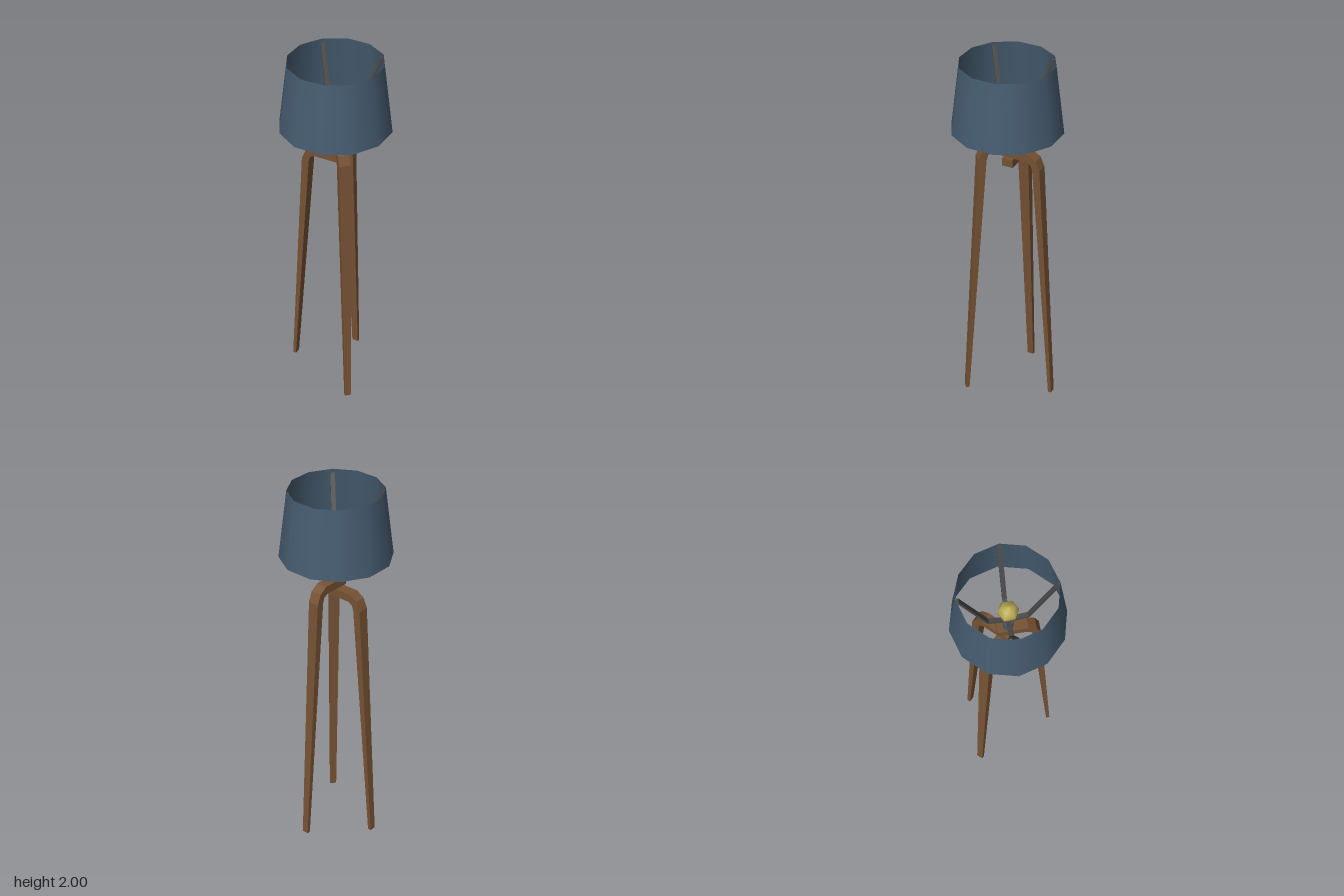
import * as THREE from 'three';

const material = (name, color, side = THREE.FrontSide) => {
  const m = new THREE.MeshStandardMaterial({ color, side });
  m.name = name;
  return m;
};

// Lofts a rectangular bar along +z. Each row: [zTop, yTop, zBottom, yBottom, halfWidth]
function loftBar(rows) {
  const sections = rows.map(([z0, y0, z1, y1, w]) => [[w, y0, z0], [-w, y0, z0], [-w, y1, z1], [w, y1, z1]]);
  const pos = [];
  const quad = (a, b, c, d) => pos.push(...a, ...b, ...c, ...a, ...c, ...d);
  for (let i = 0; i < sections.length - 1; i++) {
    const s = sections[i], t = sections[i + 1];
    for (let j = 0; j < 4; j++) {
      const k = (j + 1) % 4;
      quad(s[j], s[k], t[k], t[j]);
    }
  }
  const first = sections[0], last = sections[sections.length - 1];
  quad(first[3], first[2], first[1], first[0]);
  quad(...last);
  const g = new THREE.BufferGeometry();
  g.setAttribute('position', new THREE.Float32BufferAttribute(pos, 3));
  g.computeVertexNormals();
  return g;
}

const lathe = (points, sides) =>
  new THREE.LatheGeometry(points.map(([r, y]) => new THREE.Vector2(r, y)), sides);

export function createModel() {
  const group = new THREE.Group();
  const wood = material('wood', 0x765234);
  const fabric = material('blue fabric', 0x465c70, THREE.DoubleSide);
  const metal = material('dark metal', 0x484848);
  const glass = material('yellow glass', 0xb9aa52);

  const add = (name, geometry, mat) => {
    const mesh = new THREE.Mesh(geometry, mat);
    mesh.name = name;
    group.add(mesh);
    return mesh;
  };

  // Three bent legs, stacked one above another where they cross
  const legs = [['frontLeg', 0, 1.565], ['backLeftLeg', Math.PI * 0.75, 1.515], ['backRightLeg', -Math.PI * 0.75, 1.465]];
  for (const [name, angle, top] of legs) {
    const leg = add(name, loftBar([
      [-0.04, top, -0.04, top - 0.045, 0.03],
      [0.115, top, 0.107, top - 0.045, 0.03],
      [0.158, top - 0.028, 0.13, top - 0.058, 0.03],
      [0.18, top - 0.08, 0.139, top - 0.086, 0.03],
      [0.269, 0, 0.25, 0, 0.018],
    ]), wood);
    leg.rotation.y = angle;
    leg.position.z = -0.018;
  }

  // Tapered twelve-sided shade, open at both ends
  add('shade', lathe([[0.295, 1.635], [0.248, 2]], 12), fabric);

  // Stem and socket
  const stem = add('stem', new THREE.CylinderGeometry(0.026, 0.026, 0.085, 8), fabric);
  stem.position.y = 1.5825;
  const socket = add('socket', new THREE.CylinderGeometry(0.018, 0.018, 0.06, 8), fabric);
  socket.position.y = 1.65;

  // Four bent arms carrying the shade
  for (let i = 0; i < 4; i++) {
    const arm = add('shadeArm', loftBar([
      [0, 1.657, 0, 1.645, 0.012],
      [0.098, 1.677, 0.105, 1.665, 0.012],
      [0.234, 1.985, 0.246, 1.985, 0.012],
    ]), metal);
    arm.rotation.y = i * Math.PI / 2;
  }

  // Bulb
  add('bulb', lathe([[0, 1.665], [0.024, 1.675], [0.03, 1.7], [0.052, 1.74], [0.054, 1.765], [0.035, 1.8], [0, 1.812]], 6), glass);

  return group;
}
